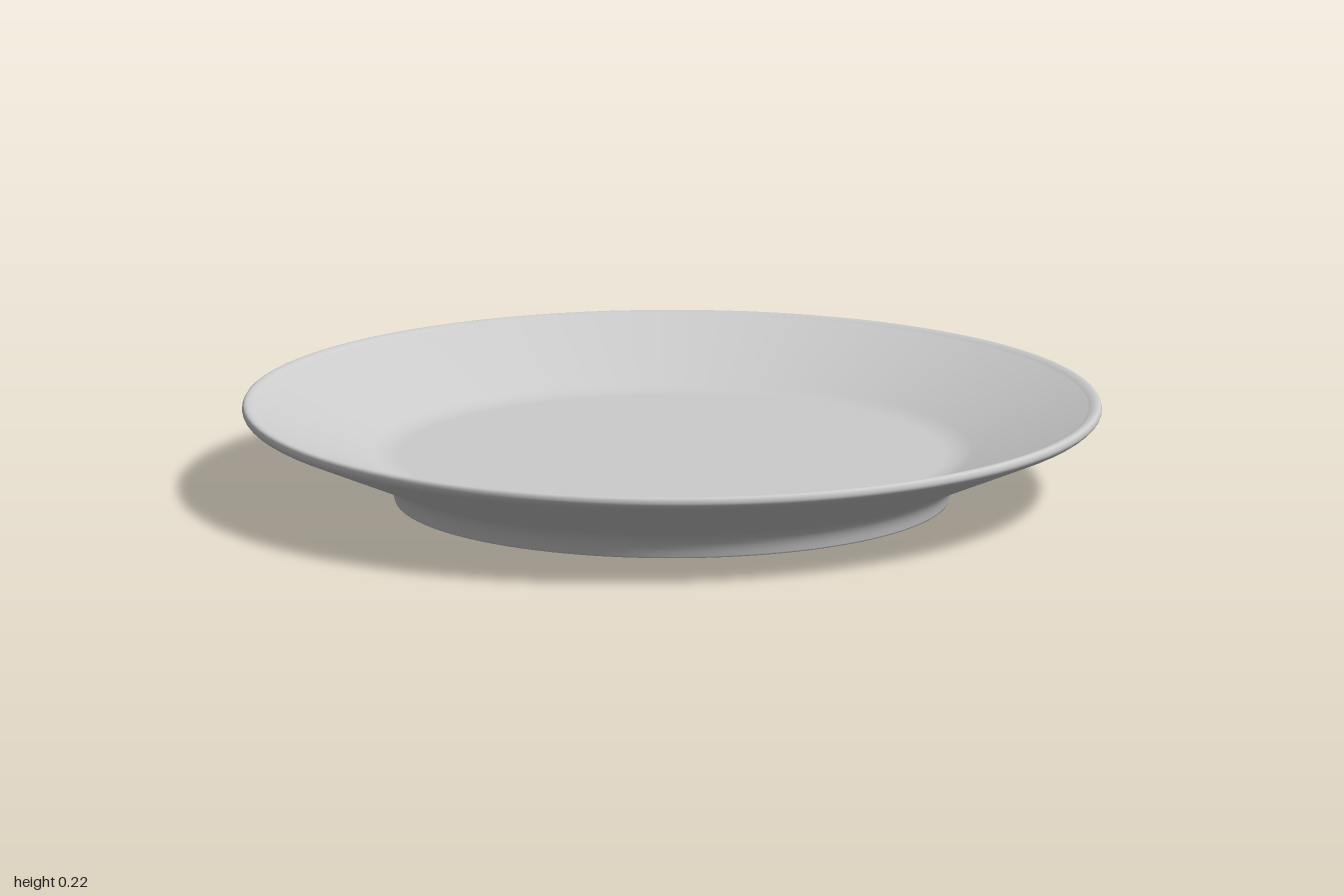
import * as THREE from 'three';

export function createModel() {
  const group = new THREE.Group();
  group.name = 'plate';
  const ceramic = new THREE.MeshStandardMaterial({ color: 0xcccccc });
  ceramic.name = 'grey ceramic';

  // Half section, from the centre of the underside round to the centre of the top
  const section = new THREE.Path();
  section.moveTo(0, 0.05);
  section.lineTo(0.55, 0.05);
  section.lineTo(0.57, 0.05);
  section.quadraticCurveTo(0.605, 0.046, 0.617, 0.004); // inside of foot
  section.lineTo(0.62, 0);
  section.lineTo(0.623, 0);
  section.lineTo(0.642, 0);
  section.lineTo(0.645, 0);
  section.lineTo(0.646, 0.004);
  section.quadraticCurveTo(0.657, 0.053, 0.695, 0.068); // outside of foot
  section.lineTo(0.71, 0.074);
  section.lineTo(0.975, 0.187); // flared underside
  section.quadraticCurveTo(1, 0.198, 1, 0.21); // rim
  section.quadraticCurveTo(1, 0.223, 0.989, 0.223);
  section.quadraticCurveTo(0.98, 0.223, 0.968, 0.216);
  section.lineTo(0.7, 0.113); // flared top
  section.quadraticCurveTo(0.668, 0.101, 0.635, 0.101);
  section.lineTo(0.62, 0.101);
  section.lineTo(0, 0.101);

  const dish = new THREE.Mesh(new THREE.LatheGeometry(section.getPoints(8), 96), ceramic);
  dish.name = 'dish';
  group.add(dish);
  return group;
}
